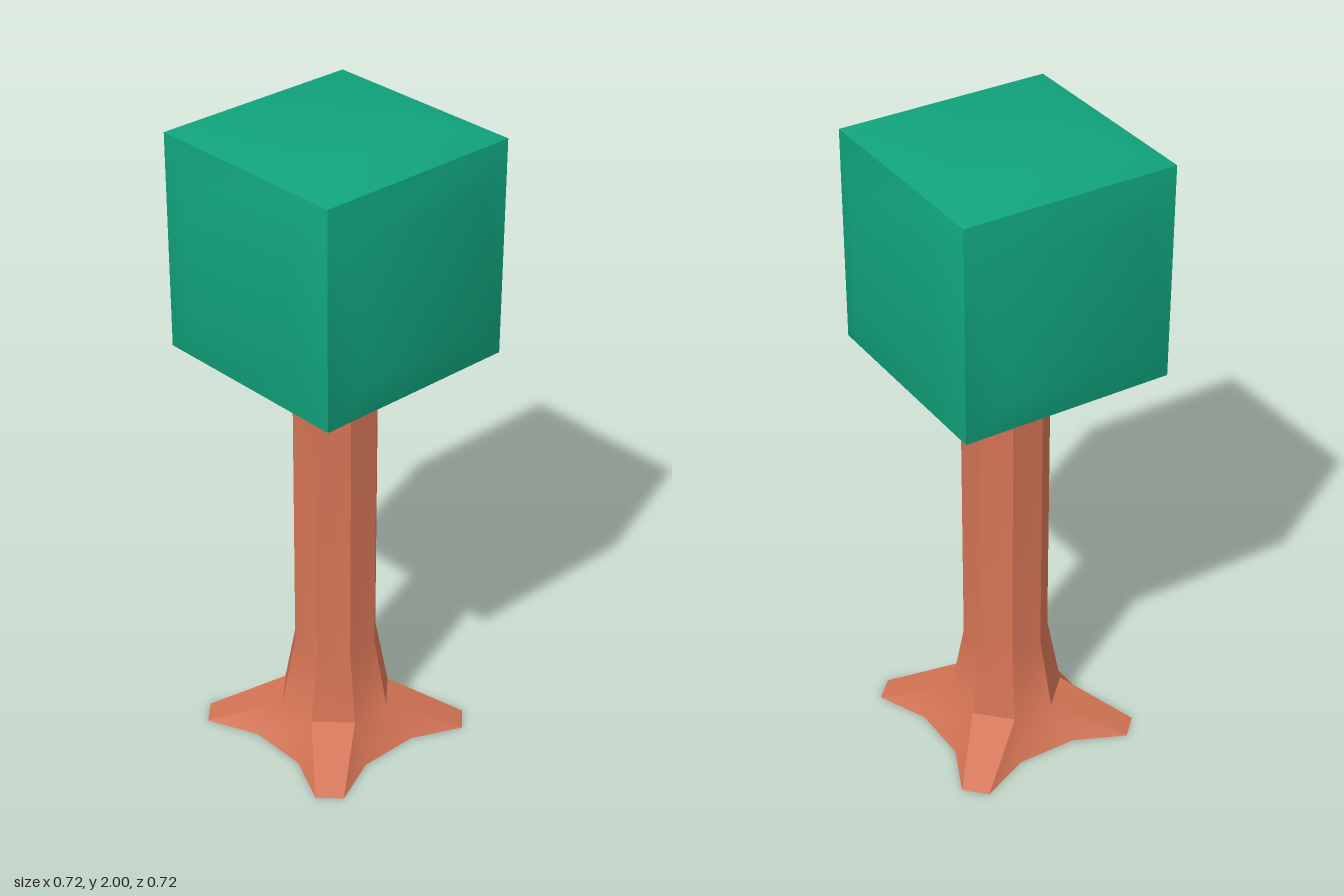
import * as THREE from 'three';
import { mergeGeometries, toCreasedNormals } from 'three/addons/utils/BufferGeometryUtils.js';

// Repeats a quarter of a ring ([x, z] points) four times around the y axis.
function ring(y, quarter) {
  const points = [];
  for (let k = 0; k < 4; k++) {
    for (const [x, z] of quarter) {
      points.push(new THREE.Vector3(x, y, z).applyAxisAngle(THREE.Object3D.DEFAULT_UP, -k * Math.PI / 2));
    }
  }
  return points;
}

// Skins a stack of rings from bottom to top, with optional flat ends.
function loft(rings, capBottom, capTop) {
  const positions = [];
  const tri = (a, b, c) => {
    const area = b.clone().sub(a).cross(c.clone().sub(a)).length();
    if (area > 1e-7) positions.push(...a.toArray(), ...b.toArray(), ...c.toArray());
  };
  const n = rings[0].length;
  const bottom = rings[0], top = rings[rings.length - 1];
  const bottomCentre = new THREE.Vector3(0, bottom[0].y, 0);
  const topCentre = new THREE.Vector3(0, top[0].y, 0);
  for (let i = 0; i < n; i++) {
    const j = (i + 1) % n;
    for (let r = 0; r < rings.length - 1; r++) {
      const lo = rings[r], up = rings[r + 1];
      tri(lo[j], lo[i], up[i]);
      tri(lo[j], up[i], up[j]);
    }
    if (capBottom) tri(bottomCentre, bottom[i], bottom[j]);
    if (capTop) tri(topCentre, top[j], top[i]);
  }
  const geometry = new THREE.BufferGeometry();
  geometry.setAttribute('position', new THREE.Float32BufferAttribute(positions, 3));
  return geometry;
}

// Octagonal trunk section; one corner is doubled to match the base outline.
function octagon(y, apothem, half) {
  return ring(y, [[apothem, -half], [apothem, half], [apothem, half], [half, apothem]]);
}

export function createModel() {
  const tree = new THREE.Group();
  tree.name = 'tree';

  // Trunk flaring into four diagonal roots
  const trunkGeometry = loft([
    ring(0, [[0.24, -0.095], [0.24, 0.095], [0.31, 0.25], [0.25, 0.31]]),
    octagon(0.1, 0.16, 0.066),
    octagon(0.33, 0.12, 0.05),
    octagon(1.3, 0.12, 0.05),
  ], true, true);
  const trunk = new THREE.Mesh(
    toCreasedNormals(trunkGeometry, 0.6),
    new THREE.MeshStandardMaterial({ color: 0xd17253 }),
  );
  trunk.name = 'trunk';
  tree.add(trunk);

  // Cubic foliage: six faces, each with a raised flat middle
  const face = () => loft([ring(0.327, [[0.327, 0.327]]), ring(0.36, [[0.212, 0.212]])], false, true);
  const faces = [];
  for (let k = 0; k < 4; k++) faces.push(face().rotateX(k * Math.PI / 2));
  for (const s of [-1, 1]) faces.push(face().rotateZ(s * Math.PI / 2));
  const foliage = new THREE.Mesh(
    toCreasedNormals(mergeGeometries(faces), 0.6),
    new THREE.MeshStandardMaterial({ color: 0x10a37c }),
  );
  foliage.name = 'foliage';
  foliage.position.y = 1.64;
  tree.add(foliage);

  return tree;
}
